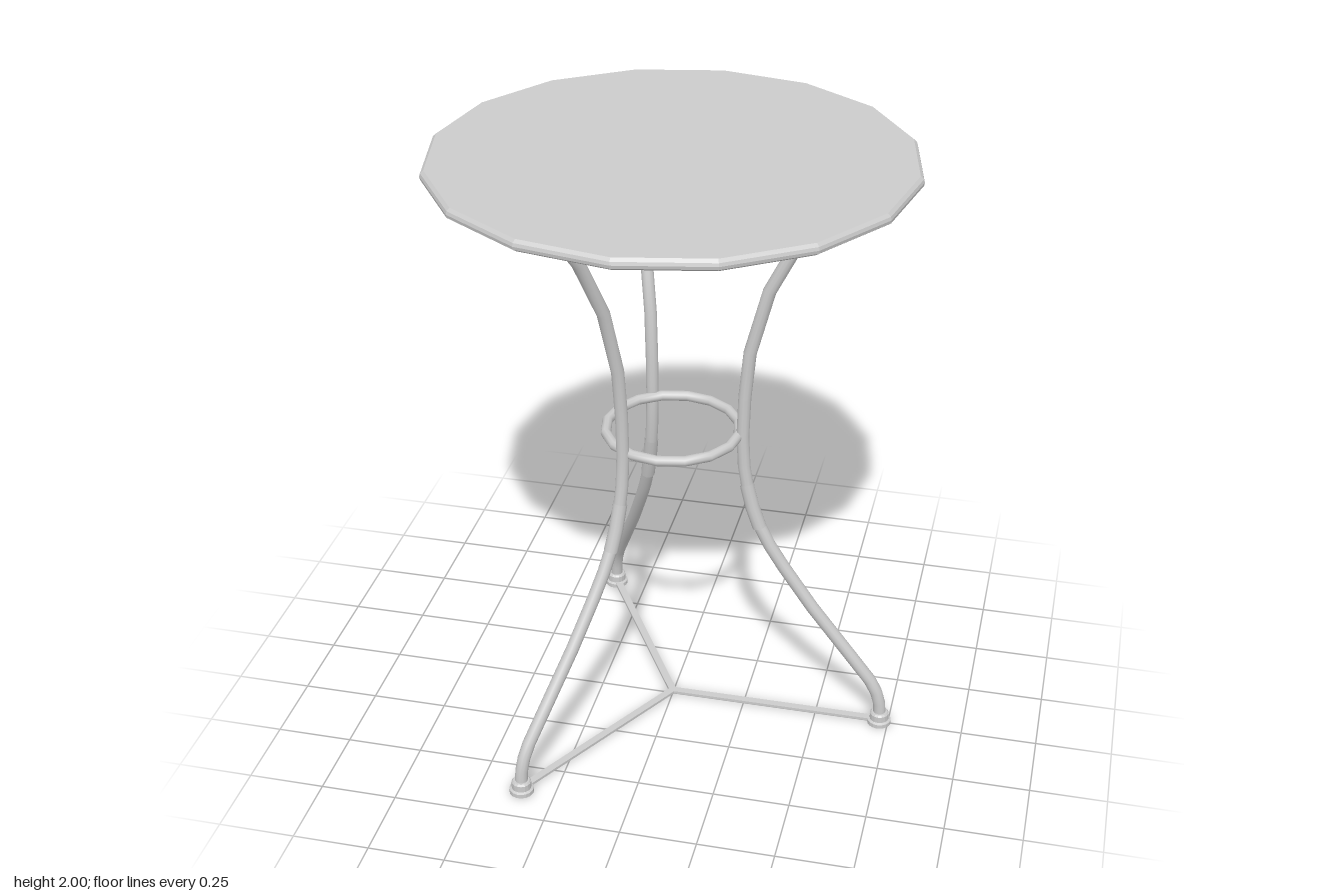
import * as THREE from 'three';

const material = new THREE.MeshStandardMaterial({ color: 0xcccccc });
const flat = new THREE.MeshStandardMaterial({ color: 0xcccccc, flatShading: true });

// Curve that keeps its control points as the tube's rings, so bends stay faceted
class RingPath extends THREE.Curve {
  constructor(points) {
    super();
    this.points = points.map(([r, y]) => new THREE.Vector3(r, y, 0));
  }
  getPointAt(u) {
    return this.points[Math.round(u * (this.points.length - 1))].clone();
  }
  getTangentAt(u) {
    const p = this.points;
    const i = Math.round(u * (p.length - 1));
    const dir = (a, b) => p[b].clone().sub(p[a]).normalize();
    if (i === 0) return dir(0, 1);
    if (i === p.length - 1) return dir(i - 1, i);
    return dir(i - 1, i).add(dir(i, i + 1)).normalize();
  }
}

function part(name, geometry, mat = material) {
  const mesh = new THREE.Mesh(geometry, mat);
  mesh.name = name;
  return mesh;
}

function tube(name, points, radius) {
  return part(name, new THREE.TubeGeometry(new RingPath(points), points.length - 1, radius, 12, false));
}

function lathe(name, profile, segments) {
  return part(name, new THREE.LatheGeometry(profile.map(([r, y]) => new THREE.Vector2(r, y)), segments), flat);
}

// One leg in the x-y plane, with its foot and floor bar
function createLeg() {
  const leg = new THREE.Group();
  leg.add(tube('lowerLeg', [
    [0.72, 0.03], [0.717, 0.08], [0.704, 0.125], [0.68, 0.17], [0.595, 0.28],
    [0.475, 0.435], [0.375, 0.58], [0.325, 0.66], [0.288, 0.735],
  ], 0.021));
  leg.add(tube('legSleeve', [[0.291, 0.725], [0.265, 0.8], [0.245, 0.885]], 0.0235));
  leg.add(tube('upperLeg', [
    [0.249, 0.87], [0.236, 0.95], [0.23, 1.06], [0.234, 1.2], [0.248, 1.36],
    [0.305, 1.58], [0.405, 1.78], [0.553, 1.975],
  ], 0.021));

  const foot = lathe('foot', [
    [0, 0], [0.04, 0], [0.04, 0.014], [0.032, 0.018], [0.032, 0.04], [0.027, 0.046], [0, 0.046],
  ], 16);
  foot.position.x = 0.72;
  leg.add(foot);

  const bar = part('floorBar', new THREE.BoxGeometry(0.72, 0.009, 0.025), flat);
  bar.position.set(0.36, 0.012, 0);
  leg.add(bar);
  return leg;
}

export function createModel() {
  const table = new THREE.Group();
  table.name = 'table';

  // Sixteen-sided top with a softened rim
  table.add(lathe('tableTop', [
    [0, 1.962], [0.742, 1.962], [0.755, 1.971], [0.757, 1.981], [0.754, 1.991], [0.744, 2], [0, 2],
  ], 16));

  // Brace ring at the waist
  const ring = part('braceRing', new THREE.TorusGeometry(0.217, 0.017, 10, 16));
  ring.rotation.x = Math.PI / 2;
  ring.position.y = 1.06;
  table.add(ring);

  // Three legs around the centre
  for (let i = 0; i < 3; i++) {
    const leg = createLeg();
    leg.name = `leg${i + 1}`;
    leg.rotation.y = (i * Math.PI * 2) / 3;
    table.add(leg);
  }
  return table;
}
